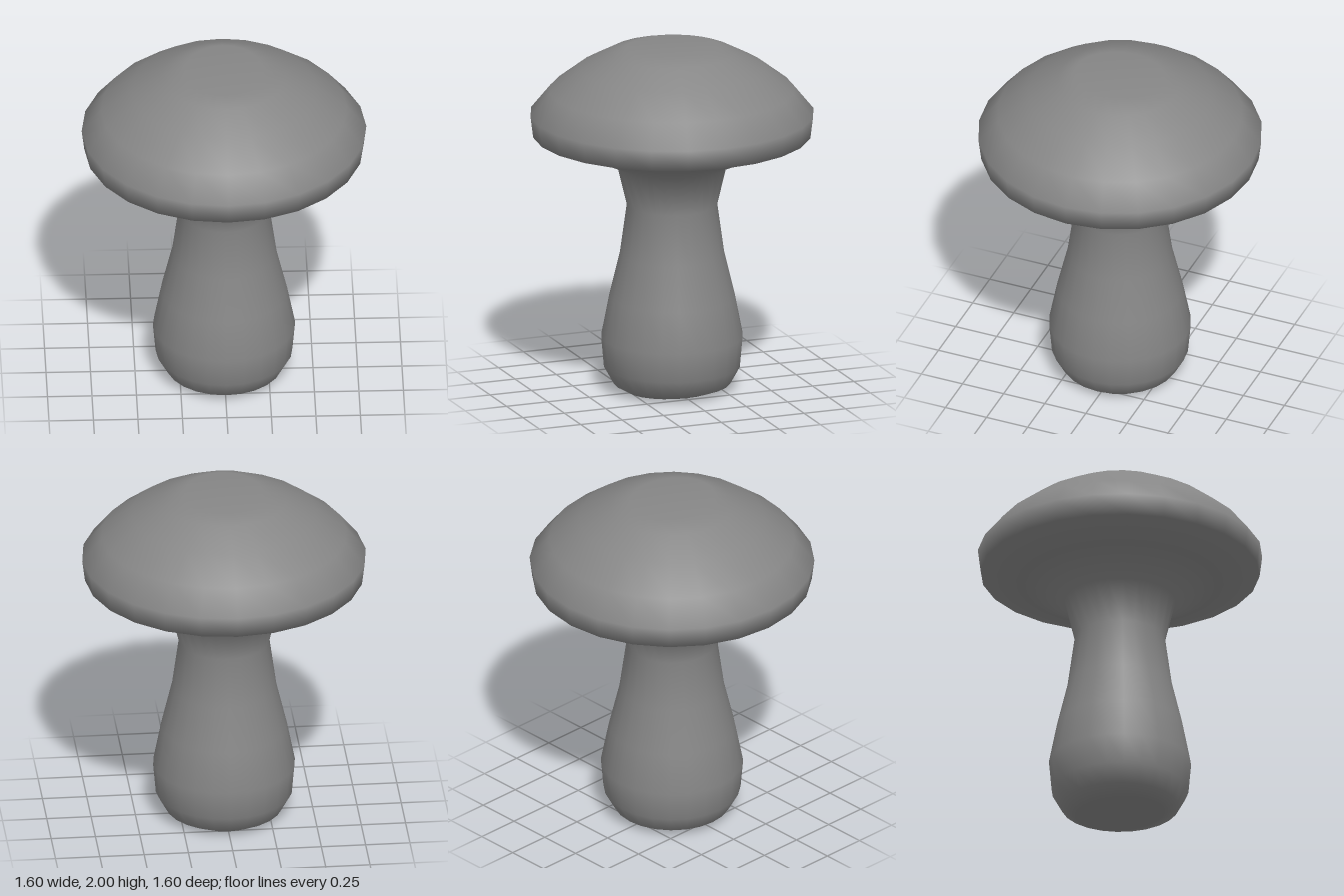
import * as THREE from 'three';

const SIDES = 24;

// Turned surface from [radius, height] pairs listed bottom to top
function turned(name, profile, material) {
  const points = profile.map(([r, y]) => new THREE.Vector2(r, y));
  const geometry = new THREE.LatheGeometry(points, SIDES);
  // The flat end discs are slightly narrower across x
  const pos = geometry.attributes.position;
  for (let i = 0; i < pos.count; i++) {
    const y = pos.getY(i);
    if (y < 0.001 || y > 1.999) pos.setX(i, pos.getX(i) * 0.85);
  }
  const mesh = new THREE.Mesh(geometry, material);
  mesh.name = name;
  return mesh;
}

export function createModel() {
  const group = new THREE.Group();
  group.name = 'mushroom';
  const material = new THREE.MeshStandardMaterial({ color: 0x868686 });

  // One continuous smooth skin: foot, waisted stem, flared gills, rim, domed cap
  const foot = [[0, 0], [0.26, 0], [0.33, 0.04], [0.385, 0.14], [0.4, 0.31]];
  const stem = [[0.355, 0.54], [0.295, 0.79], [0.255, 1.08], [0.31, 1.31]];
  const gills = [[0.55, 1.42], [0.785, 1.49]];
  const cap = [[0.8, 1.61], [0.69, 1.745], [0.52, 1.875], [0.35, 1.965], [0.26, 2], [0, 2]];
  group.add(turned('stemAndCap', [...foot, ...stem, ...gills, ...cap], material));

  return group;
}
